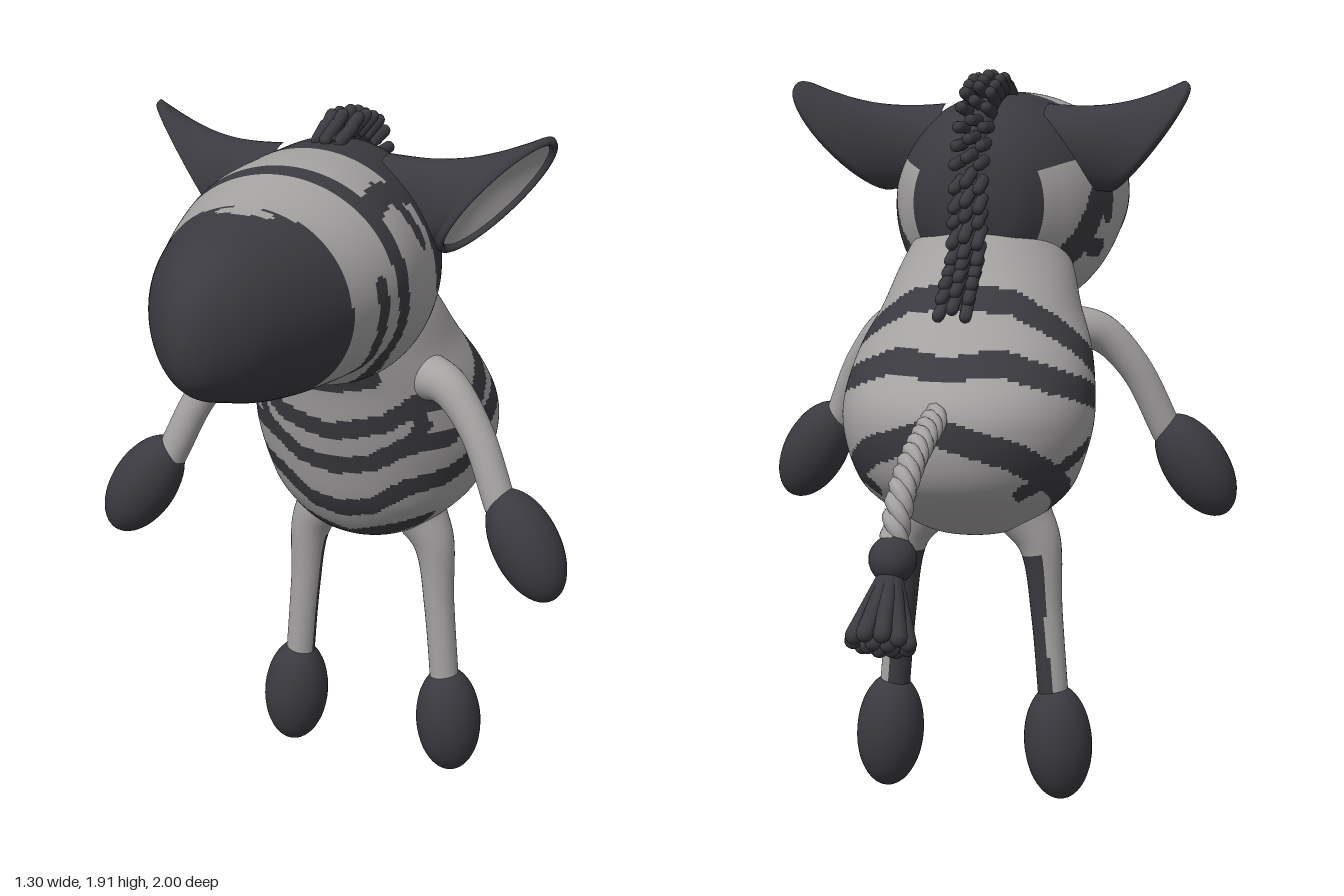
import * as THREE from 'three';

const V = (x, y, z) => new THREE.Vector3(x, y, z);
const mat = (name, color) => {
  const m = new THREE.MeshStandardMaterial({ color });
  m.name = name;
  return m;
};

// Smooth interpolation through the rows of a profile table
function sampleRows(rows, u) {
  const f = u * (rows.length - 1), i = Math.min(Math.floor(f), rows.length - 2), t = f - i;
  const at = k => rows[Math.max(0, Math.min(rows.length - 1, k))];
  return rows[0].map((_, c) => {
    const [a, b, d, e] = [at(i - 1)[c], at(i)[c], at(i + 1)[c], at(i + 2)[c]];
    return b + 0.5 * t * (d - a + t * (2 * a - 5 * b + 4 * d - e + t * (3 * (b - d) + e - a)));
  });
}

// Skin over rings; isDark(centre, angle) sends faces to the second material
function loft(ring, nu, na, { flip = false, isDark = null } = {}) {
  const pos = [], faces = [[], []];
  for (let i = 0; i <= nu; i++)
    for (let j = 0; j < na; j++) pos.push(...ring(i / nu, (j / na) * Math.PI * 2).toArray());
  const point = k => V(pos[k * 3], pos[k * 3 + 1], pos[k * 3 + 2]);
  for (let i = 0; i < nu; i++)
    for (let j = 0; j < na; j++) {
      const a = i * na + j, b = i * na + (j + 1) % na, c = a + na, d = b + na;
      let dark = 0;
      if (isDark) {
        const ang = ((j + 0.5) / na) * Math.PI * 2;
        dark = isDark(point(a).add(point(d)).multiplyScalar(0.5), Math.min(ang, Math.PI * 2 - ang)) ? 1 : 0;
      }
      faces[dark].push(...(flip ? [a, c, b, b, c, d] : [a, b, c, b, d, c]));
    }
  const g = new THREE.BufferGeometry();
  g.setAttribute('position', new THREE.Float32BufferAttribute(pos, 3));
  g.setIndex(faces[0].concat(faces[1]));
  if (isDark) {
    g.addGroup(0, faces[0].length, 0);
    g.addGroup(faces[0].length, faces[1].length, 1);
  }
  g.computeVertexNormals();
  return g;
}

// True when (angle, key) lies within any stripe: [halfWidth, [angle, key], ...]
function onStripe(stripes, angle, key, radius) {
  return stripes.some(([w, ...pts]) => {
    for (let i = 0; i + 1 < pts.length; i++) {
      const ax = pts[i][0] * radius, ay = pts[i][1];
      const dx = pts[i + 1][0] * radius - ax, dy = pts[i + 1][1] - ay;
      const px = angle * radius - ax, py = key - ay;
      const t = Math.max(0, Math.min(1, (px * dx + py * dy) / (dx * dx + dy * dy)));
      if (Math.hypot(px - t * dx, py - t * dy) < w) return true;
    }
    return false;
  });
}

// Tapered round limb along a curve
function limb(points, r0, r1, isDark) {
  const curve = new THREE.CatmullRomCurve3(points), n = 28, fr = curve.computeFrenetFrames(n);
  return loft((u, a) => {
    const i = Math.round(u * n), r = r1 + (r0 - r1) * Math.pow(1 - u, 4);
    return curve.getPointAt(u).addScaledVector(fr.normals[i], r * Math.cos(a))
      .addScaledVector(fr.binormals[i], r * Math.sin(a));
  }, n, 28, { isDark });
}

export function createModel() {
  const model = new THREE.Group();
  model.name = 'zebra';
  const light = mat('light grey', 0xa5a2a2), dark = mat('charcoal', 0x3b3a40);
  const add = (name, geo, m, parent = model) => {
    const mesh = new THREE.Mesh(geo, m);
    mesh.name = name;
    parent.add(mesh);
    return mesh;
  };
  // Places an object with its y axis pointing along dir
  const aim = (mesh, p, dir) => {
    mesh.position.copy(p);
    mesh.quaternion.setFromUnitVectors(V(0, 1, 0), dir.clone().normalize());
  };

  // Body and neck: y, back z, front z, half width
  const bodyRows = [[0.705, -0.1, -0.1, 0], [0.718, -0.2, -0.02, 0.1], [0.76, -0.29, 0.05, 0.18],
    [0.83, -0.4, 0.1, 0.26], [0.9, -0.455, 0.13, 0.298], [1, -0.477, 0.16, 0.325], [1.09, -0.46, 0.185, 0.325],
    [1.2, -0.37, 0.21, 0.303], [1.3, -0.28, 0.24, 0.262], [1.4, -0.19, 0.25, 0.23], [1.5, -0.12, 0.24, 0.185]];
  const bodyStripes = [
    [0.026, [0, 1.09], [0.45, 1.12], [0.75, 1.17], [1.1, 1.17], [1.3, 1.22]],
    [0.026, [0, 0.985], [0.3, 1.0], [0.6, 1.05], [1.0, 1.06]],
    [0.022, [0.62, 1.05], [0.78, 1.11], [0.72, 1.17]],
    [0.028, [0, 0.845], [0.3, 0.86], [0.6, 0.92], [1, 0.94], [1.4, 1]],
    [0.03, [0, 0.73], [0.6, 0.765], [1, 0.79]],
    [0.045, [0, 1.25], [0.4, 1.27]],
    [0.03, [1.3, 1.13], [2.1, 1.26], [2.6, 1.33], [3.15, 1.34]],
    [0.03, [1.5, 1.08], [2.2, 1.14], [2.7, 1.19], [3.15, 1.17]],
    [0.036, [3.15, 1.03], [2.5, 0.96], [1.9, 0.86], [1.4, 0.77]],
    [0.022, [2.4, 0.86], [1.9, 0.93], [1.6, 0.96]],
  ];
  add('body', loft((u, a) => {
    const [y, zb, zf, w] = sampleRows(bodyRows, u);
    return V(Math.max(w, 0) * Math.sin(a), y, (zb + zf) / 2 + (zf - zb) / 2 * Math.cos(a));
  }, 120, 190, { isDark: (c, a) => onStripe(bodyStripes, a, c.y, 0.32) }), [light, dark]);

  // Head: z, centre y, half width, half height
  const headRows = [[-0.14, 1.57, 0, 0], [-0.1, 1.57, 0.13, 0.15], [0, 1.56, 0.22, 0.245], [0.1, 1.555, 0.27, 0.29],
    [0.2, 1.55, 0.296, 0.302], [0.3, 1.557, 0.307, 0.298], [0.41, 1.58, 0.305, 0.272], [0.52, 1.578, 0.285, 0.255],
    [0.63, 1.575, 0.253, 0.237], [0.74, 1.58, 0.215, 0.217], [0.84, 1.588, 0.168, 0.19], [0.91, 1.585, 0.124, 0.16],
    [0.965, 1.58, 0.072, 0.112], [0.99, 1.577, 0.034, 0.06], [1, 1.575, 0, 0]];
  const headStripes = [
    [0.025, [0, 0.45], [0.6, 0.455], [1.0, 0.46], [1.6, 0.44], [2.3, 0.39], [2.8, 0.28], [3.15, 0.23]],
    [0.02, [1.4, 0.53], [2, 0.51], [2.6, 0.44], [3.15, 0.4]],
    [0.032, [0.8, 0.45], [0.72, 0.34], [0.8, 0.25]],
    [0.022, [0.8, 0.32], [1.2, 0.29]],
    [0.03, [0.9, 0.22], [1.6, 0.19]],
    [0.042, [1.5, 0.13], [2.1, 0.04], [2.5, -0.06]],
    [0.025, [1.9, 0.08], [1.95, 0.18]],
  ];
  const headDark = (c, a) => {
    if (c.z > 0.65 - 0.01 * a) return Math.hypot(c.x / 0.075, (c.z - 0.675) / 0.022) > 1 || a > 1;
    return (c.z < 0.27 && a < 0.9) || (c.z < 0.2 && a < 1.1) || c.z < -0.06 || onStripe(headStripes, a, c.z, 0.28);
  };
  add('head', loft((u, a) => {
    const [z, yc, w, h] = sampleRows(headRows, u);
    return V(Math.max(w, 0) * Math.sin(a), yc + Math.max(h, 0) * Math.cos(a), z);
  }, 154, 180, { flip: true, isDark: headDark }), [light, dark]);

  for (const s of [1, -1]) {
    const side = s > 0 ? 'left' : 'right';

    // Ear: flared shell with a hollow light lining
    const ear = new THREE.Group();
    ear.name = side + 'Ear';
    model.add(ear);
    const c0 = V(0.14, 1.7, 0.145), u0 = V(0, 0.125, 0), v0 = V(0, 0, 0.1);
    const c1 = V(0.405, 1.74, 0.1), u1 = V(0.125, 0.135, -0.07), v1 = V(-0.008, 0.05, 0.08);
    const n1 = u1.clone().cross(v1).normalize();
    const earRing = (t, k, depth, a) => {
      const sag = Math.sin(t * Math.PI);
      const p = c0.clone().lerp(c1, t).addScaledVector(n1, depth).add(V(0, -0.015 * sag, 0.015 * sag))
        .addScaledVector(u0.clone().lerp(u1, t), k * (1 - 0.08 * sag) * Math.cos(a))
        .addScaledVector(v0.clone().lerp(v1, t), k * (1 - 0.2 * sag) * Math.sin(a));
      p.x *= s;
      return p;
    };
    add('earShell', loft((u, a) => {
      if (u < 0.7) return earRing(u / 0.7, 1, 0, a);
      const q = (u - 0.7) / 0.3 * Math.PI;
      return earRing(1, 0.94 + 0.06 * Math.cos(q), 0.018 * Math.sin(q), a);
    }, 30, 40, { flip: s < 0 }), dark, ear);
    add('earLining', loft((u, a) => earRing(1, 0.89 * (1 - u), 0.004 - 0.03 * Math.sin(u * Math.PI / 2), a),
      8, 40, { flip: s < 0 }), light, ear);

    // Arm and front hoof
    add(side + 'Arm', limb([V(s * 0.2, 1.235, 0.06), V(s * 0.29, 1.225, 0.1), V(s * 0.38, 1.13, 0.135),
      V(s * 0.465, 0.95, 0.175)], 0.07, 0.042), light);
    const hand = add(side + 'FrontHoof', new THREE.SphereGeometry(1, 32, 24), dark);
    hand.scale.set(0.088, 0.155, 0.085);
    aim(hand, V(s * 0.54, 0.862, 0.19), V(s * -0.52, 0.85, -0.13));

    // Leg with a dark stripe on its inner back, and hind hoof
    add(side + 'Leg', limb([V(s * 0.14, 0.765, -0.115), V(s * 0.18, 0.69, -0.112), V(s * 0.2, 0.5, -0.11),
      V(s * 0.22, 0.26, -0.11)], 0.075, 0.04,
    c => c.y < 0.66 && 0.25 - 0.1 * c.y - Math.abs(c.x) - 0.11 - c.z > 0.036), [light, dark]);
    const foot = add(side + 'HindHoof', new THREE.SphereGeometry(1, 32, 24), dark);
    foot.scale.set(0.09, 0.155, 0.092);
    aim(foot, V(s * 0.232, 0.155, -0.11), V(s * -0.07, 1, 0));
  }

  // Mane: three rows of short cords following the crown and neck
  const mane = new THREE.Group();
  mane.name = 'mane';
  model.add(mane);
  const crest = new THREE.CatmullRomCurve3([V(0, 1.835, 0.2), V(0, 1.845, 0.1), V(0, 1.8, -0.01), V(0, 1.69, -0.08),
    V(0, 1.56, -0.105), V(0, 1.44, -0.14), V(0, 1.34, -0.235)]);
  add('maneBase', new THREE.TubeGeometry(crest, 50, 0.035, 10), dark, mane);
  const cord = new THREE.CapsuleGeometry(0.016, 0.075, 4, 10);
  for (let i = 0; i < 18; i++) {
    const t = i / 17, p = crest.getPointAt(t), tan = crest.getTangentAt(t);
    const out = V(0, -tan.z, tan.y);
    const lift = 0.12 + 0.85 * Math.sin(Math.PI * t) ** 2;
    for (const k of [-1, 0, 1]) {
      const dir = tan.clone().multiplyScalar(0.55).addScaledVector(out, lift).add(V(k * 0.05, 0, 0)).normalize();
      const start = p.clone().add(V(k * 0.029, 0, 0)).addScaledVector(out, 0.025 - 0.01 * Math.abs(k))
        .addScaledVector(tan, k === 0 ? 0 : 0.015);
      aim(add('maneCord', cord, dark, mane), start.addScaledVector(dir, 0.038), dir);
    }
  }

  // Tail: three twisted strands
  const tail = new THREE.Group();
  tail.name = 'tail';
  model.add(tail);
  const tailPath = new THREE.CatmullRomCurve3([V(0, 1.07, -0.43), V(0, 1.035, -0.55), V(0, 0.98, -0.68),
    V(0, 0.91, -0.77), V(0, 0.8, -0.825)]);
  for (let k = 0; k < 3; k++) {
    const pts = [];
    for (let i = 0; i <= 60; i++) {
      const t = i / 60, a = t * Math.PI * 8 + k * Math.PI * 2 / 3, tan = tailPath.getTangentAt(t);
      pts.push(tailPath.getPointAt(t).add(V(0.016 * Math.cos(a), 0, 0))
        .addScaledVector(V(0, -tan.z, tan.y), 0.016 * Math.sin(a)));
    }
    add('tailStrand', new THREE.TubeGeometry(new THREE.CatmullRomCurve3(pts), 100, 0.02, 8), light, tail);
  }

  // Tail knot and tassel
  const knot = add('tailKnot', new THREE.SphereGeometry(0.057, 24, 16), dark, tail);
  knot.position.set(0, 0.78, -0.83);
  const down = V(0, -0.86, -0.5).normalize(), across = V(0, 0.5, -0.86).normalize();
  const strand = new THREE.CapsuleGeometry(0.021, 0.16, 4, 10);
  for (let i = 0; i < 15; i++) {
    const inner = i >= 10, a = i / (inner ? 5 : 10) * Math.PI * 2, r = inner ? 0.15 : 0.36;
    const dir = down.clone().addScaledVector(across, r * Math.sin(a)).add(V(r * Math.cos(a), 0, 0)).normalize();
    aim(add('tasselStrand', strand, dark, tail), V(0, 0.765, -0.836).addScaledVector(dir, 0.115), dir);
  }
  return model;
}
